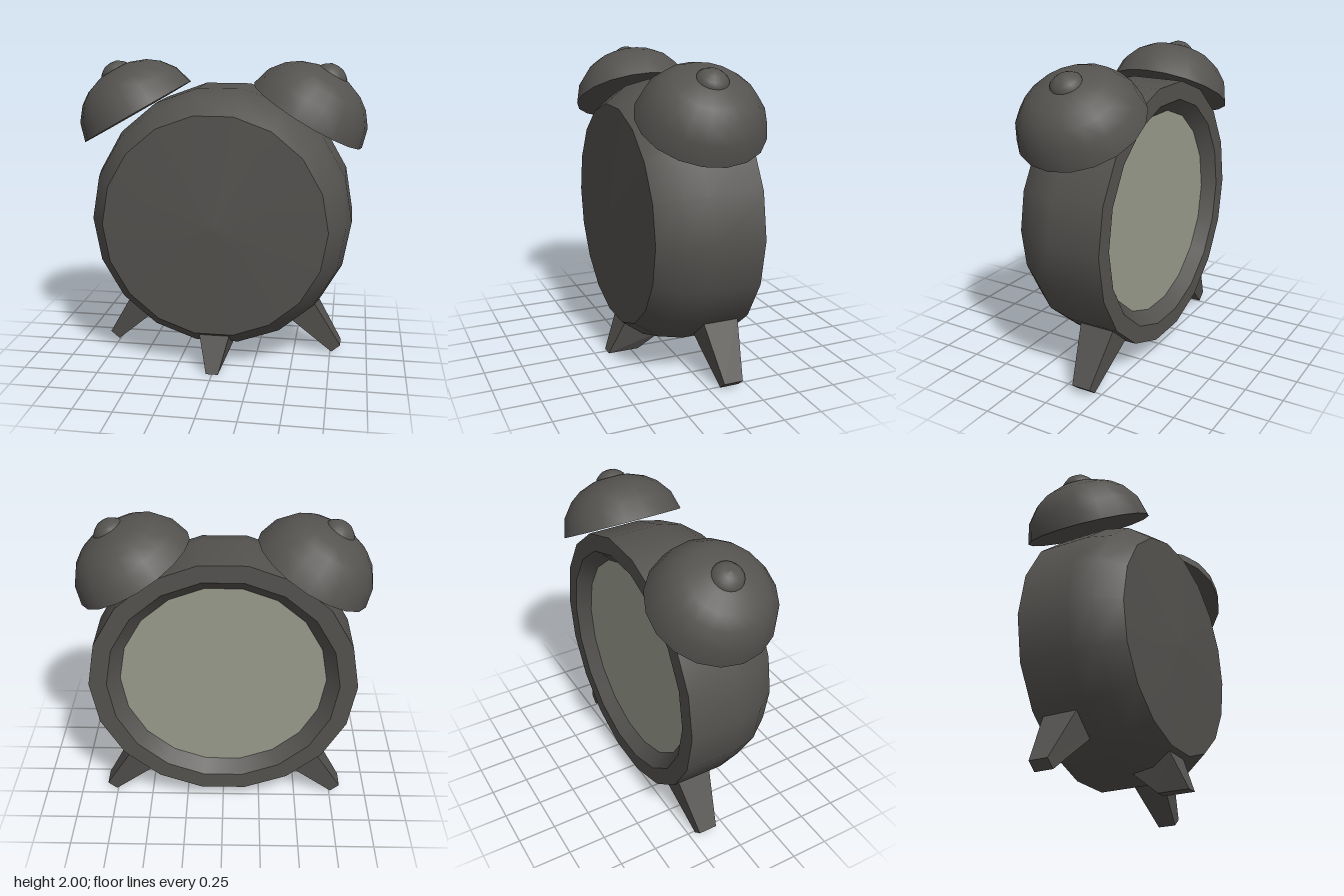
import * as THREE from 'three';

const SIDES = 18;
const dark = new THREE.MeshStandardMaterial({ color: 0x555350 });
const pale = new THREE.MeshStandardMaterial({ color: 0x9a9c8c });
const darkFlat = new THREE.MeshStandardMaterial({ color: 0x555350, flatShading: true });

// Turned surface about y, profile points are [radius, height] from bottom to top
function turned(name, profile, material = dark) {
  const points = profile.map(([r, h]) => new THREE.Vector2(r, h));
  const mesh = new THREE.Mesh(new THREE.LatheGeometry(points, SIDES, Math.PI / 2), material);
  mesh.name = name;
  return mesh;
}

// Box reshaped to eight corners: place(x, y, z) maps signs to a position
function block(name, place) {
  const geometry = new THREE.BoxGeometry(2, 2, 2);
  const p = geometry.attributes.position;
  for (let i = 0; i < p.count; i++) p.setXYZ(i, ...place(p.getX(i), p.getY(i), p.getZ(i)));
  geometry.computeVertexNormals();
  const mesh = new THREE.Mesh(geometry, darkFlat);
  mesh.name = name;
  return mesh;
}

// Drum case with a recessed dial, turned about z
function makeCase() {
  const group = new THREE.Group();
  group.name = 'case';
  group.add(
    turned('dial', [[0, -0.23], [0.67, -0.23]], pale),
    turned('dialSurround', [[0.67, -0.23], [0.75, -0.31]]),
    turned('rim', [[0.75, -0.31], [0.865, -0.31]]),
    turned('shell', [[0.865, -0.31], [0.865, 0.04], [0.83, 0.2], [0.725, 0.343]]),
    turned('closedCover', [[0.725, 0.343], [0, 0.375]]),
  );
  group.rotation.x = Math.PI / 2;
  group.position.y = 0.97;
  return group;
}

// Tilted bell with a button on its crown
function makeBell(name, side) {
  const group = new THREE.Group();
  group.name = name;
  group.add(
    turned('bellUnderside', [[0, 0], [0.404, 0]]),
    turned('bellDome', [[0.404, 0], [0.368, 0.125], [0.297, 0.215], [0.224, 0.267], [0.119, 0.306], [0, 0.32]]),
    turned('bellButton', [[0.1, 0.295], [0.095, 0.318], [0.075, 0.337], [0.045, 0.357], [0, 0.364]]),
  );
  group.position.set(0.56 * side, 1.655, -0.012);
  group.rotation.z = -side * Math.PI / 6;
  return group;
}

// Splayed side foot, tapering toward its tip
function makeSideFoot(name, side) {
  return block(name, (x, y, z) => {
    const outer = x * side > 0;
    const [px, py] = y > 0
      ? (outer ? [0.6, 0.43] : [0.42, 0.295])
      : (outer ? [0.82, 0.05] : [0.76, 0]);
    return [px * side, py, -0.14 + z * (y > 0 ? 0.125 : 0.063)];
  });
}

export function createModel() {
  const model = new THREE.Group();
  model.name = 'alarmClock';
  model.add(makeCase());

  for (const [word, side] of [['left', 1], ['right', -1]]) {
    model.add(makeBell(word + 'Bell', side), makeSideFoot(word + 'Foot', side));
  }

  // Middle foot leaning forward, cut level at the ground
  model.add(block('middleFoot', (x, y, z) => {
    if (y < 0) return [0.04 * x, 0, z > 0 ? 0.41 : 0.2];
    return z > 0 ? [0.1 * x, 0.24, 0.31] : [0.11 * x, 0.135, 0.05];
  }));
  return model;
}
